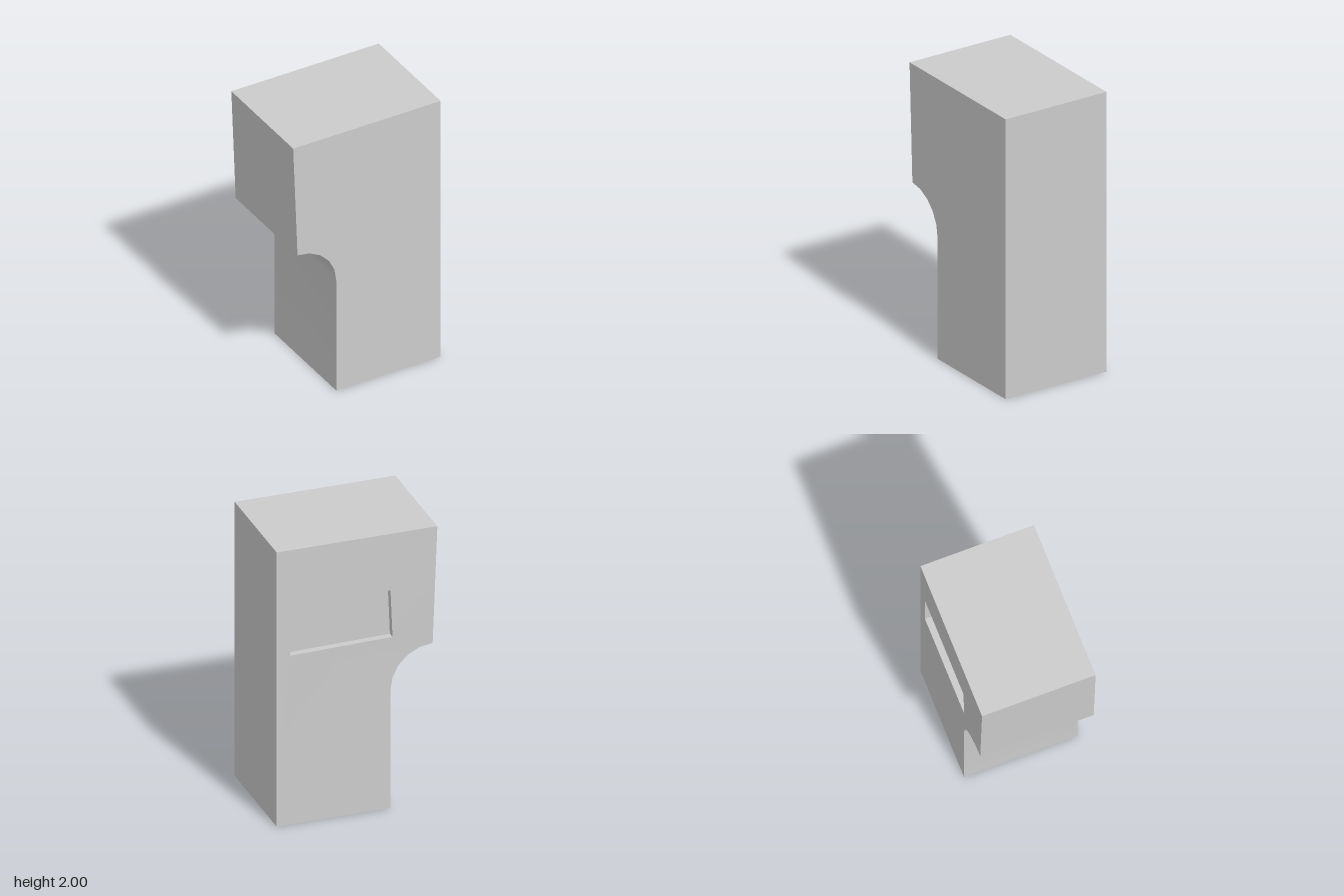
import * as THREE from 'three';
import { mergeGeometries, toCreasedNormals } from 'three/addons/utils/BufferGeometryUtils.js';

const FRONT = 0.4, BACK = -0.396, RIM = -0.4, FLOOR = -0.35;
const v = (x, y) => new THREE.Vector2(x, y);

// Flat cap; backward caps face -z
function cap(outline, z, backward = false, hole = null) {
  const shape = new THREE.Shape(outline);
  if (hole) shape.holes.push(new THREE.Path(hole));
  const flat = new THREE.ShapeGeometry(shape).toNonIndexed();
  const src = flat.attributes.position;
  const pos = [];
  for (let i = 0; i < src.count; i += 3) {
    for (const k of backward ? [0, 2, 1] : [0, 1, 2]) {
      const x = src.getX(i + k), y = src.getY(i + k);
      // the rim of the hole stands very slightly proud of the cap
      const onRim = hole && hole.some(p => Math.hypot(p.x - x, p.y - y) < 1e-4);
      pos.push(x, y, onRim ? RIM : z);
    }
  }
  return fromPositions(pos);
}

// Band of quads along a closed loop, facing the right-hand side of its direction
function walls(loop, z0, z1) {
  const pos = [];
  loop.forEach((a, i) => {
    const b = loop[(i + 1) % loop.length];
    pos.push(a.x, a.y, z0, b.x, b.y, z0, b.x, b.y, z1);
    pos.push(a.x, a.y, z0, b.x, b.y, z1, a.x, a.y, z1);
  });
  return fromPositions(pos);
}

function fromPositions(pos) {
  const g = new THREE.BufferGeometry();
  g.setAttribute('position', new THREE.Float32BufferAttribute(pos, 3));
  return g;
}

function part(name, geometries) {
  const geometry = toCreasedNormals(mergeGeometries(geometries), Math.PI / 6);
  const mesh = new THREE.Mesh(geometry, new THREE.MeshStandardMaterial({ color: 0xcccccc }));
  mesh.name = name;
  return mesh;
}

export function createModel() {
  const group = new THREE.Group();
  group.name = 'block';

  // Side profile, counter-clockwise, with a concave quarter arc under the overhang
  const outline = [v(-0.233, 0), v(0.56, 0), v(0.56, 2), v(-0.56, 2)];
  for (let i = 0; i <= 5; i++) {
    const a = Math.PI / 2 * (1 - i / 5);
    outline.push(v(-0.527 + 0.294 * Math.cos(a), 0.86 + 0.294 * Math.sin(a)));
  }

  // Slightly skewed recess opening, clockwise
  const recess = [v(0.467, 1.233), v(-0.246, 1.248), v(-0.232, 1.59), v(0.467, 1.582)];

  group.add(part('body', [
    cap(outline, FRONT),
    cap(outline, BACK, true, recess),
    walls(outline, BACK, FRONT),
  ]));

  // Shallow pocket in the back face
  group.add(part('backRecess', [
    walls(recess, RIM, FLOOR),
    cap(recess, FLOOR, true),
  ]));
  return group;
}
